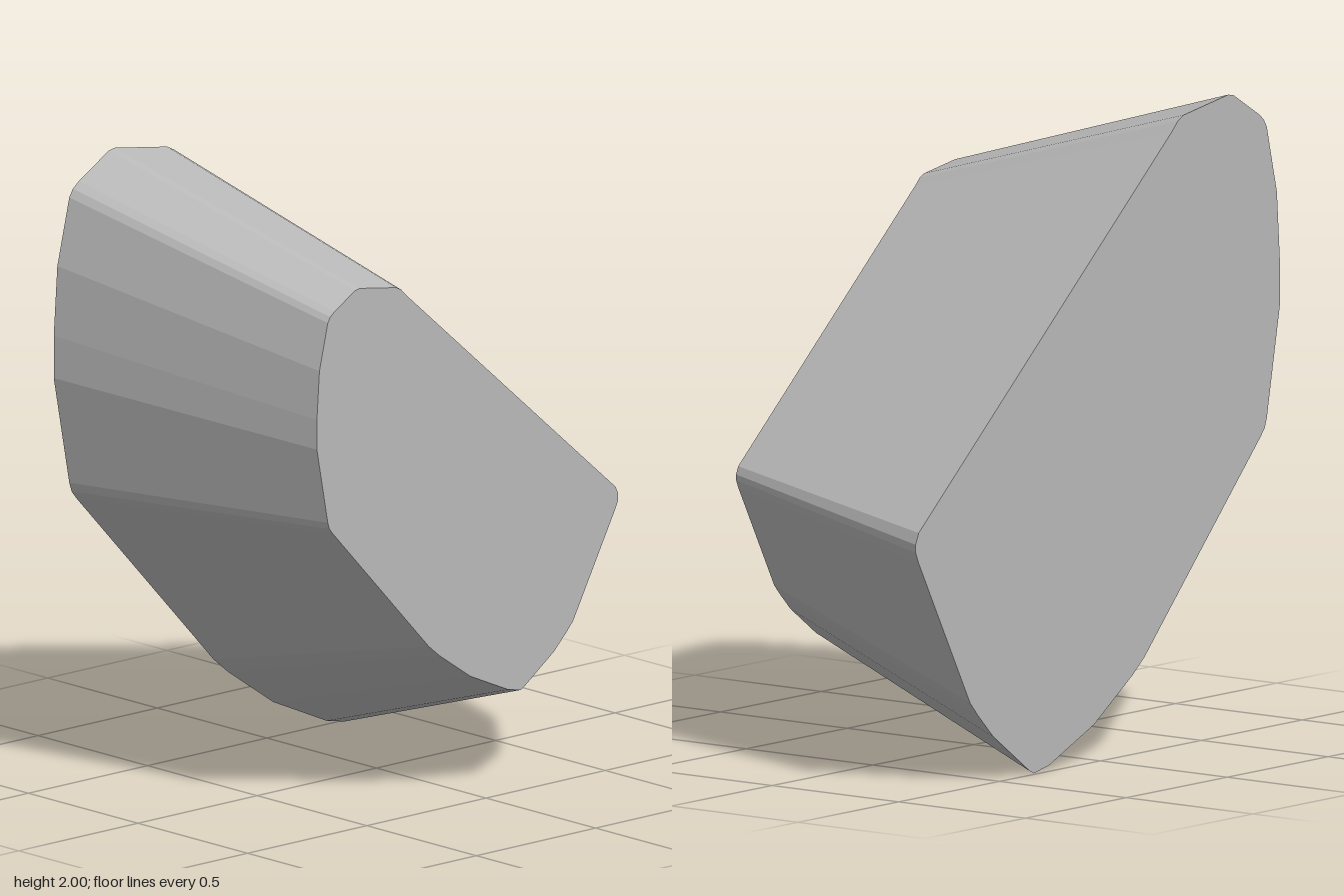
import * as THREE from 'three';

// Outline of the large rear face, clockwise from the top
const OUTLINE = [
  [-0.65, 2.0], [-0.43, 1.965], [-0.4, 1.95], [-0.37, 1.92],
  [0.885, 0.825], [0.9, 0.79], [0.9, 0.765], [0.885, 0.73],
  [0.63, 0.26], [0.59, 0.215], [0.515, 0.14], [0.335, 0.01], [0.315, 0.0],
  [0.24, 0.015], [0.015, 0.115], [-0.175, 0.245], [-0.235, 0.295],
  [-0.81, 0.91], [-0.83, 0.935], [-0.84, 0.965],
  [-0.905, 1.31], [-0.905, 1.445], [-0.89, 1.665],
  [-0.84, 1.875], [-0.825, 1.9], [-0.8, 1.92], [-0.675, 1.995],
];
const DEPTH = 0.975;
const TAPER = 0.7; // size of the front face relative to the rear

export function createModel() {
  const group = new THREE.Group();
  const grey = new THREE.MeshStandardMaterial({ color: 0xb8b8b8, flatShading: true });
  grey.name = 'stone grey';

  const shape = new THREE.Shape(OUTLINE.map(([x, y]) => new THREE.Vector2(x, y)));
  const geometry = new THREE.ExtrudeGeometry(shape, { depth: DEPTH, steps: 1, bevelEnabled: false });

  // Shrink the front face to taper the block
  const p = geometry.attributes.position;
  for (let i = 0; i < p.count; i++) {
    if (p.getZ(i) > DEPTH / 2) {
      p.setXY(i, p.getX(i) * TAPER - 0.064, p.getY(i) * TAPER + 0.315);
    }
  }
  geometry.translate(0, 0, -DEPTH / 2);
  geometry.computeVertexNormals();

  const block = new THREE.Mesh(geometry, grey);
  block.name = 'taperedBlock';
  group.add(block);
  return group;
}
